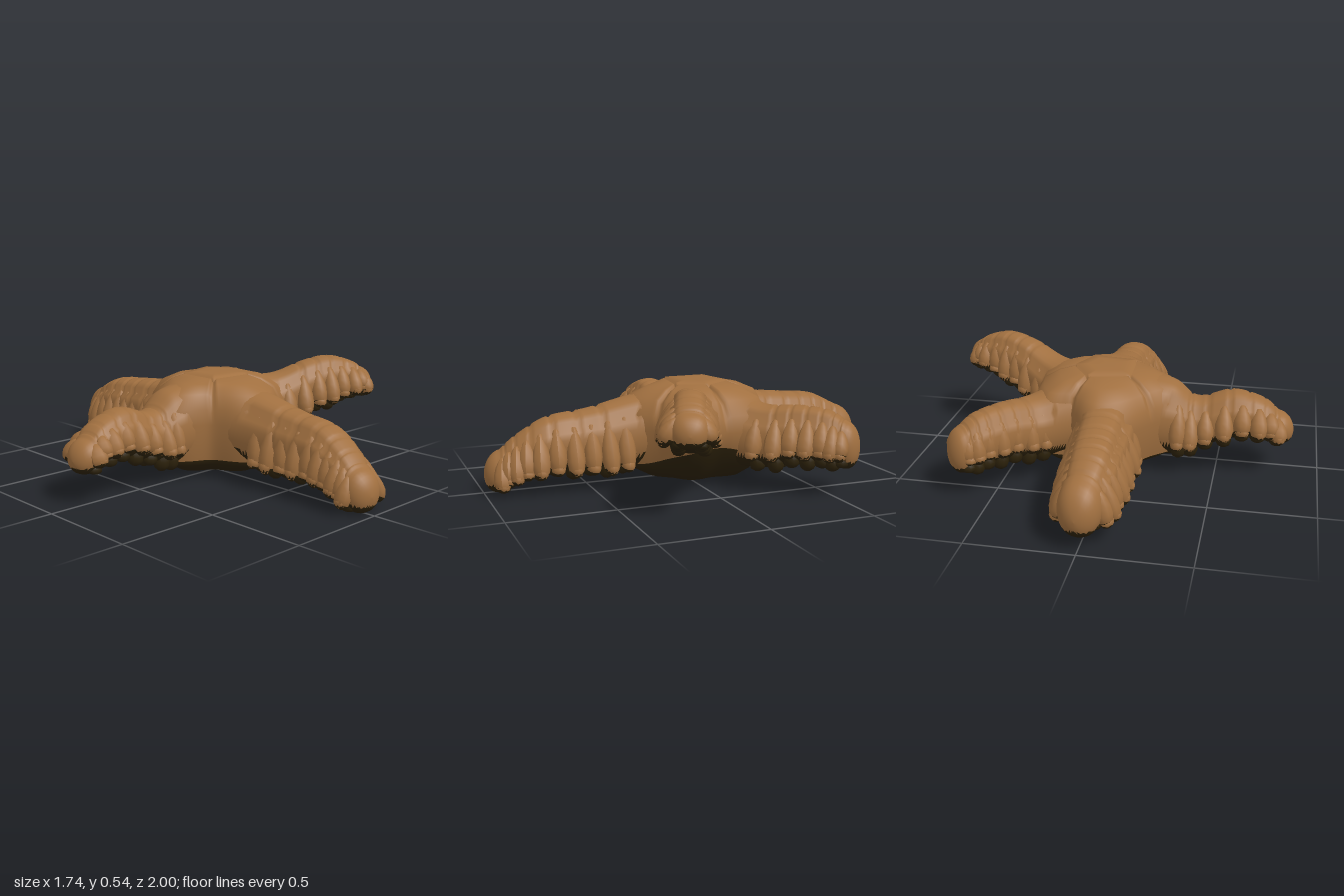
import * as THREE from 'three';
import { mergeGeometries } from 'three/addons/utils/BufferGeometryUtils.js';

const skin = new THREE.MeshStandardMaterial({ color: 0xa17040 });
skin.name = 'brown skin';
const underside = new THREE.MeshStandardMaterial({ color: 0x2c210a });
underside.name = 'dark underside';

const CX = 0.05, CZ = -0.05; // centre of the disc
const UP = new THREE.Vector3(0, 1, 0);

// Closed loft: point(r, i) gives vertex i of ring r
function loft(rings, sides, point) {
  const pos = [], index = [];
  for (let r = 0; r < rings; r++) {
    for (let i = 0; i < sides; i++) {
      pos.push(...point(r, i));
      if (r === rings - 1) continue;
      const j = (i + 1) % sides, a = r * sides + i, b = r * sides + j;
      index.push(a, b, a + sides, b, b + sides, a + sides);
    }
  }
  const g = new THREE.BufferGeometry();
  g.setAttribute('position', new THREE.Float32BufferAttribute(pos, 3));
  g.setIndex(index);
  g.computeVertexNormals();
  return g;
}

// Faces that look down get the dark colour
function twoTone(name, g, limit) {
  const ix = g.index.array, n = g.attributes.normal, top = [], low = [];
  for (let f = 0; f < ix.length; f += 3) {
    const ny = (n.getY(ix[f]) + n.getY(ix[f + 1]) + n.getY(ix[f + 2])) / 3;
    (ny < limit ? low : top).push(ix[f], ix[f + 1], ix[f + 2]);
  }
  g.setIndex([...top, ...low]);
  g.addGroup(0, top.length, 0);
  g.addGroup(top.length, low.length, 1);
  const mesh = new THREE.Mesh(g, [skin, underside]);
  mesh.name = name;
  return mesh;
}

// Disc outline: [angle in degrees, radius]; even entries are the notches between arms
const OUTLINE = [[-3, 0.36], [22, 0.41], [54, 0.34], [92, 0.4], [138, 0.28], [178, 0.4],
  [219, 0.32], [267, 0.4], [296, 0.31], [316, 0.4], [357, 0.36]];

function discRadius(deg) {
  const k = Math.max(1, OUTLINE.findIndex(o => o[0] > deg));
  const [a, ra] = OUTLINE[k - 1], [b, rb] = OUTLINE[k];
  return ra + (rb - ra) * THREE.MathUtils.smoothstep(deg, a, b);
}

// Radius of the central five-sided plate, and closeness to a crease between plates
function plate(deg) {
  for (let k = 0; k < 10; k += 2) {
    const a = OUTLINE[k][0], b = OUTLINE[k + 2][0];
    if (deg < a || deg > b) continue;
    const mid = THREE.MathUtils.degToRad(deg - (a + b) / 2);
    const half = THREE.MathUtils.degToRad((b - a) / 2);
    const near = Math.min(deg - a, b - deg);
    return { r: 0.165 * Math.cos(half) / Math.cos(mid), crease: Math.max(0, 1 - near / 4) };
  }
}

function makeDisc() {
  // [share of plate radius, share of outline radius, height, share of the lower wall edge]
  const rows = [[0, 0, 0.505, 0], [0.6, 0, 0.505, 0], [0.96, 0, 0.501, 0], [1, 0, 0.48, 0],
    [1.05, 0, 0.495, 0], [0.6, 0.4, 0.475, 0], [0.25, 0.75, 0.435, 0], [0, 0.97, 0.365, 0],
    [0, 1, 0.29, 0], [0, 0.94, 0, 1], [0, 0.8, 0.02, 0.5], [0, 0.6, 0.02, 0.12], [0, 0, 0.02, 0]];
  const sides = 180;
  const g = loft(rows.length, sides, (r, i) => {
    const deg = -3 + i * 360 / sides, t = THREE.MathUtils.degToRad(deg);
    const p = plate(deg), [u, v, h, e] = rows[r];
    const rad = u * p.r + v * discRadius(deg);
    // the lower wall edge rises under the raised arm
    const edge = 0.11 + 0.11 * Math.max(0, Math.cos(t - 0.1)) ** 3;
    const y = h + e * edge - (r > 3 && r < 8 ? 0.024 * p.crease : 0);
    return [CX + rad * Math.cos(t), y, CZ + rad * Math.sin(t)];
  });
  return twoTone('disc', g, -0.33);
}

// Arm stations from disc to tip: [x, z, top, bottom, half width].
// flare: how far the lobes stand out on each side; fringe: where the brown lobes end
const ARMS = {
  frontArm: { tip: 0.075, flare: [0, 0.03], fringe: 0.12,
    path: [[0.05, 0.1, 0.47, 0.08, 0.19], [0.05, 0.3, 0.435, 0.06, 0.15],
      [0.05, 0.5, 0.39, 0.06, 0.125], [0.04, 0.7, 0.36, 0.07, 0.115],
      [0.015, 0.84, 0.28, 0.05, 0.1], [0, 0.92, 0.21, 0.01, 0.09]] },
  backArm: { tip: 0.1, flare: [0.025, 0.015], fringe: 0.12,
    path: [[0.04, -0.15, 0.47, 0.08, 0.18], [0.01, -0.35, 0.425, 0.06, 0.145],
      [0, -0.58, 0.4, 0.07, 0.13], [-0.01, -0.75, 0.38, 0.08, 0.12], [0, -0.9, 0.31, 0.06, 0.1]] },
  rightArm: { tip: 0.07, flare: [0.03, 0], fringe: 0.25,
    path: [[-0.1, -0.06, 0.48, 0.06, 0.18], [-0.28, -0.06, 0.45, 0.05, 0.145],
      [-0.4, -0.055, 0.37, 0.09, 0.115], [-0.57, -0.045, 0.415, 0.15, 0.105],
      [-0.72, -0.03, 0.375, 0.17, 0.095], [-0.8, -0.02, 0.31, 0.15, 0.083]] },
  leftFrontArm: { tip: 0.065, flare: [0.025, -0.005], fringe: 0.18,
    path: [[0.2, 0, 0.47, 0.1, 0.17], [0.35, 0.08, 0.475, 0.16, 0.125],
      [0.5, 0.155, 0.53, 0.24, 0.105], [0.63, 0.21, 0.55, 0.28, 0.095],
      [0.75, 0.26, 0.515, 0.33, 0.09], [0.8, 0.28, 0.48, 0.33, 0.082]] },
  leftBackArm: { tip: 0.06, flare: [0.03, -0.03], fringe: 0.25,
    path: [[0.2, -0.17, 0.47, 0.08, 0.17], [0.36, -0.285, 0.41, 0.08, 0.125],
      [0.475, -0.405, 0.415, 0.11, 0.105], [0.575, -0.515, 0.4, 0.12, 0.095],
      [0.64, -0.58, 0.35, 0.13, 0.083]] },
};

// Club-shaped lobe between two points, wider towards the second
function lobe(a, b, radius) {
  const g = new THREE.SphereGeometry(1, 10, 8), p = g.attributes.position;
  const half = a.distanceTo(b) / 2;
  for (let i = 0; i < p.count; i++) {
    const y = p.getY(i), k = radius * (0.85 + 0.25 * y);
    p.setXYZ(i, p.getX(i) * k, y * half, p.getZ(i) * k);
  }
  g.applyQuaternion(new THREE.Quaternion().setFromUnitVectors(UP, b.clone().sub(a).normalize()));
  const mid = a.clone().add(b).multiplyScalar(0.5);
  g.translate(mid.x, mid.y, mid.z);
  g.computeVertexNormals();
  return g;
}

function makeArm(name, { path, tip, flare, fringe }) {
  const ridge = new THREE.CatmullRomCurve3(path.map(s => new THREE.Vector3(s[0], s[2], s[1])), false, 'catmullrom');
  const size = new THREE.CatmullRomCurve3(path.map(s => new THREE.Vector3(s[4], s[3], 0)), false, 'catmullrom');
  const at = t => {
    const top = ridge.getPoint(t), s = size.getPoint(t);
    const dir = ridge.getTangent(t).setY(0).normalize();
    return { top, w: s.x, bottom: s.y, dir, side: new THREE.Vector3().crossVectors(UP, dir) };
  };
  const arm = new THREE.Group();
  arm.name = name;

  // Segmented arm with a ridge band on top and a rounded tip
  const along = 60, cap = 8, sides = 28;
  const body = loft(along + cap + 1, sides, (r, i) => {
    const c = at(Math.min(1, r / along));
    const q = Math.max(0, r - along) / cap * Math.PI / 2;
    const a = i / sides * Math.PI * 2, ca = Math.cos(a), sa = Math.sin(a);
    const lift = 0.02 * (1 - THREE.MathUtils.smoothstep(r, along * 0.8, along));
    const mid = (c.top.y + c.bottom + lift) / 2, h = (c.top.y - c.bottom - lift) / 2;
    let k = Math.cos(q);
    if (r % 7 === 0 && r > 14 && r < along && sa > 0) k *= 0.935;
    if ((i === 3 || i === 11) && r > 10 && r < along - 3) k *= 0.9;
    const x = c.w * Math.sign(ca) * Math.abs(ca) ** 0.85 * k;
    const f = tip * Math.sin(q);
    return [c.top.x + c.side.x * x + c.dir.x * f, mid + h * sa * k - 0.2 * f,
      c.top.z + c.side.z * x + c.dir.z * f];
  });
  arm.add(twoTone('armBody', body, -0.4));

  // Rows of crowded lobes down both sides, with small dark feet beneath
  const lobes = [], feet = [];
  const count = Math.round(ridge.getLength() * 0.75 / 0.068);
  for (let n = 0; n < count; n++) {
    const c = at(0.25 + 0.71 * n / (count - 1));
    const h = c.top.y - c.bottom, wave = n % 2 ? 0.008 : -0.008;
    [-1, 1].forEach((s, k) => {
      const spot = (out, y) => c.top.clone().setY(y).addScaledVector(c.side, s * out);
      const reach = c.w + flare[k] + wave;
      lobes.push(lobe(spot(c.w * 0.62, c.top.y - h * 0.17),
        spot(reach, c.bottom + h * (fringe - 0.02) - wave), 0.05));
      lobes.push(lobe(spot(c.w * 0.8, c.bottom + h * (fringe + 0.25)),
        spot(reach + 0.015, c.bottom + h * fringe), 0.038));
      feet.push(lobe(spot(c.w * 0.6, c.bottom + h * 0.35),
        spot(c.w * 0.45, c.bottom + 0.005 - wave), 0.045));
    });
  }
  arm.add(twoTone('sideLobes', mergeGeometries(lobes), -0.35));
  const under = new THREE.Mesh(mergeGeometries(feet), underside);
  under.name = 'undersideFeet';
  arm.add(under);
  return arm;
}

export function createModel() {
  const model = new THREE.Group();
  model.name = 'starfish';
  model.add(makeDisc());
  for (const [name, spec] of Object.entries(ARMS)) model.add(makeArm(name, spec));
  return model;
}
